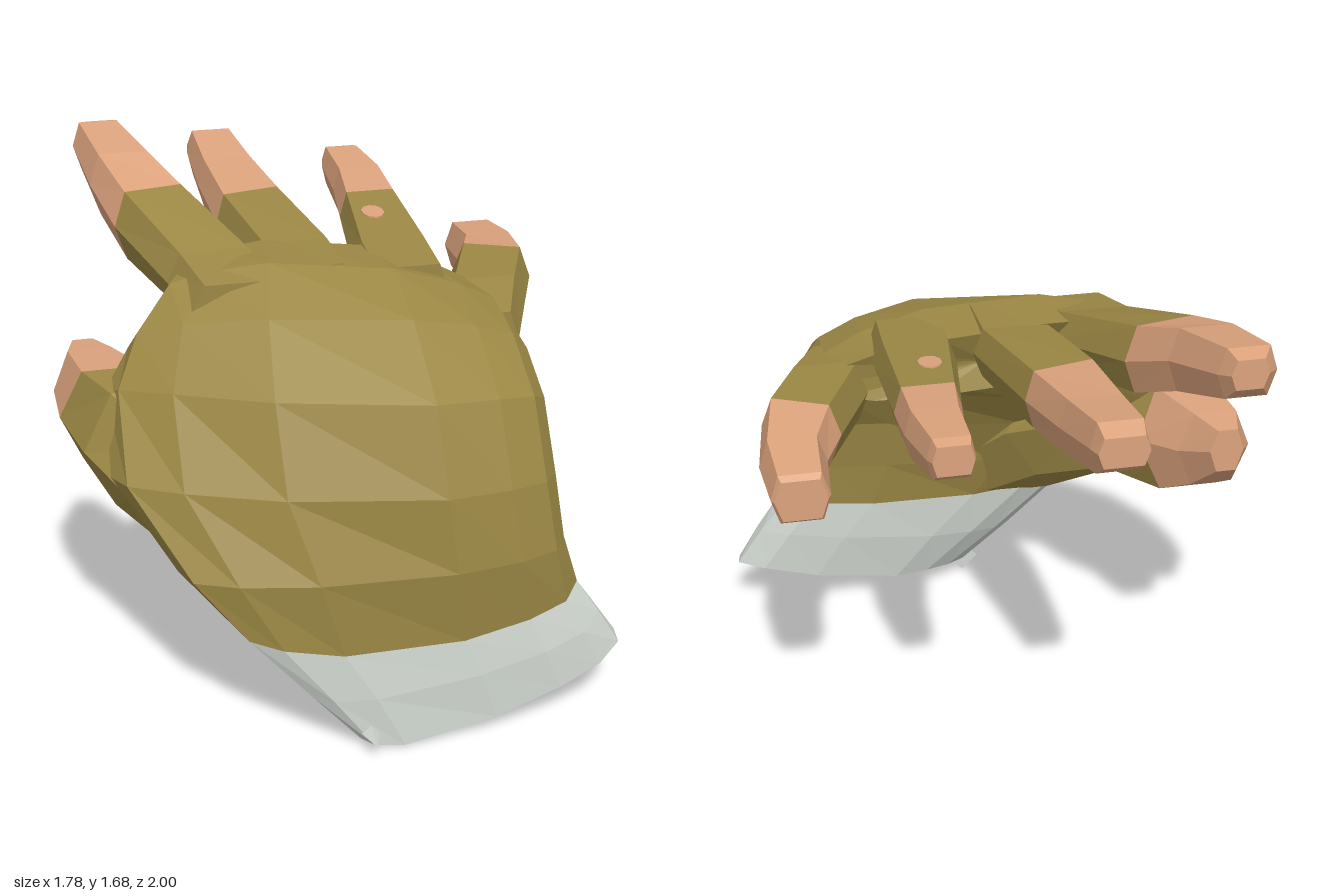
import * as THREE from 'three';

const glove = new THREE.MeshStandardMaterial({ color: 0x9c8845 });
glove.name = 'olive glove';
const skin = new THREE.MeshStandardMaterial({ color: 0xdca37d });
skin.name = 'skin';
const cloth = new THREE.MeshStandardMaterial({ color: 0xd0d6d0 });
cloth.name = 'pale cuff';

// Faceted skin over a list of rings, closed at both ends
function loft(name, rings, material) {
  const pos = [];
  const tri = (...pts) => pts.forEach((p) => pos.push(p.x, p.y, p.z));
  const n = rings[0].length;
  for (let i = 0; i < rings.length - 1; i++) {
    for (let j = 0; j < n; j++) {
      const k = (j + 1) % n;
      const a = rings[i][j], b = rings[i][k], c = rings[i + 1][k], d = rings[i + 1][j];
      tri(a, d, c);
      tri(a, c, b);
    }
  }
  const centre = (ring) => ring.reduce((s, p) => s.add(p), new THREE.Vector3()).divideScalar(n);
  const first = rings[0], last = rings[rings.length - 1];
  const c0 = centre(first), c1 = centre(last);
  for (let j = 0; j < n; j++) {
    const k = (j + 1) % n;
    tri(c0, first[j], first[k]);
    tri(c1, last[k], last[j]);
  }
  const geo = new THREE.BufferGeometry();
  geo.setAttribute('position', new THREE.Float32BufferAttribute(pos, 3));
  geo.computeVertexNormals();
  const mesh = new THREE.Mesh(geo, material);
  mesh.name = name;
  return mesh;
}

// Rounded ring through four points: thumb edge, little-finger edge, back, palm
function handRing([thumbEdge, outerEdge, back, palm]) {
  const [L, R, B, P] = [thumbEdge, outerEdge, back, palm].map((p) => new THREE.Vector3(...p));
  const M = B.clone().add(P).multiplyScalar(0.5);
  const soft = (v) => Math.pow(Math.abs(v), 0.7);
  const ring = [];
  for (let j = 0; j < 14; j++) {
    const t = (j / 14) * Math.PI * 2;
    const c = Math.cos(t), s = Math.sin(t);
    ring.push(M.clone()
      .addScaledVector((c > 0 ? R : L).clone().sub(M), soft(c))
      .addScaledVector((s > 0 ? B : P).clone().sub(M), soft(s)));
  }
  return ring;
}

// Six-sided digit ring: centre, half width, half height, z slant across and up;
// flat is the share of the width taken by the top and bottom faces
function digitRing([x, y, z, w, h, across = 0, up = 0], flat) {
  const corners = [[1, 0], [flat, 1], [-flat, 1], [-1, 0], [-flat, -1], [flat, -1]];
  return corners.map(([u, v]) => new THREE.Vector3(x + u * w, y + v * h, z + u * across + v * up));
}

// Hand body from the wrist, over the bend, to the knuckles
const palmSections = [
  [[-0.42, 0.44, 0.76], [0.72, 0.45, 0.77], [0.08, 0.33, 0.91], [0.15, 0.42, 0.66]],
  [[-0.6, 0.61, 0.68], [0.66, 0.63, 0.78], [0.05, 0.62, 0.94], [0.1, 0.62, 0.63]],
  [[-0.77, 0.85, 0.45], [0.63, 0.85, 0.75], [0.02, 0.88, 0.92], [0.1, 0.82, 0.6]],
  [[-0.75, 1.06, 0.23], [0.62, 1.07, 0.64], [0, 1.17, 0.84], [0.1, 1.0, 0.52]],
  [[-0.66, 1.18, 0.17], [0.62, 1.17, 0.46], [0, 1.37, 0.56], [0.1, 1.12, 0.4]],
  [[-0.54, 1.31, 0.14], [0.62, 1.2, 0.27], [0, 1.47, 0.28], [0.05, 1.2, 0.22]],
  [[-0.47, 1.35, 0.06], [0.55, 1.24, 0.14], [0, 1.455, -0.02], [0.03, 1.23, 0.0]],
];

// Cuff from its hem up to the wrist
const cuffSections = [
  [[-0.02, 0.05, 0.82], [0.88, 0.2, 0.78], [0.2, 0.0, 0.92], [0.38, 0.08, 0.68]],
  [[-0.2, 0.22, 0.79], [0.8, 0.33, 0.78], [0.14, 0.19, 0.92], [0.27, 0.27, 0.66]],
  palmSections[0],
];

// Each digit: rings from root to tip; 'bare' is the ring where the glove ends
const digits = {
  thumb: { bare: 3, flat: 0.58, rings: [
    [-0.2, 0.58, 0.68, 0.24, 0.15], [-0.42, 0.78, 0.5, 0.29, 0.19], [-0.61, 0.89, 0.33, 0.23, 0.2],
    [-0.71, 0.92, 0.1, 0.18, 0.18, 0, 0.05], [-0.76, 0.95, -0.06, 0.13, 0.14], [-0.77, 1.0, -0.18, 0.06, 0.08]] },
  indexFinger: { bare: 2, flat: 0.72, rings: [
    [-0.3, 1.33, 0.3, 0.17, 0.09], [-0.35, 1.36, 0.08, 0.16, 0.1], [-0.49, 1.45, -0.29, 0.14, 0.12, -0.03],
    [-0.56, 1.53, -0.5, 0.12, 0.11], [-0.61, 1.6, -0.76, 0.095, 0.085], [-0.6, 1.62, -0.82, 0.06, 0.05]] },
  middleFinger: { bare: 2, flat: 0.78, rings: [
    [-0.06, 1.34, 0.25, 0.14, 0.1], [-0.06, 1.36, 0.02, 0.14, 0.09], [-0.125, 1.4, -0.4, 0.13, 0.1, -0.03],
    [-0.15, 1.44, -0.7, 0.11, 0.095], [-0.165, 1.49, -0.94, 0.09, 0.085], [-0.165, 1.5, -1.0, 0.08, 0.05]] },
  ringFinger: { bare: 2, flat: 0.78, rings: [
    [0.27, 1.32, 0.25, 0.14, 0.09], [0.28, 1.34, 0.02, 0.14, 0.09], [0.31, 1.38, -0.39, 0.11, 0.09],
    [0.325, 1.41, -0.6, 0.095, 0.085], [0.315, 1.44, -0.82, 0.075, 0.07], [0.315, 1.45, -0.86, 0.065, 0.05]] },
  littleFinger: { bare: 2, flat: 0.72, rings: [
    [0.5, 1.17, 0.38, 0.12, 0.1], [0.57, 1.2, 0.15, 0.15, 0.11], [0.69, 1.215, -0.13, 0.125, 0.105, 0.06],
    [0.74, 1.2, -0.33, 0.11, 0.095], [0.74, 1.19, -0.53, 0.095, 0.085], [0.74, 1.19, -0.55, 0.085, 0.07]] },
};

export function createModel() {
  const hand = new THREE.Group();
  hand.name = 'glovedHand';
  hand.add(loft('palm', palmSections.map(handRing), glove));
  hand.add(loft('cuff', cuffSections.map(handRing), cloth));

  // Pointed fold at the hem of the cuff
  const fold = new THREE.Mesh(new THREE.ConeGeometry(0.06, 0.18, 4).toNonIndexed(), cloth);
  fold.geometry.computeVertexNormals();
  fold.name = 'cuffFold';
  fold.rotation.x = Math.PI / 2;
  fold.position.set(-0.02, 0.06, 0.91);
  hand.add(fold);

  // Gloved roots and bare tips
  for (const [name, { bare, flat, rings }] of Object.entries(digits)) {
    const loops = rings.map((ring) => digitRing(ring, flat));
    const digit = new THREE.Group();
    digit.name = name;
    digit.add(loft(name + 'Glove', loops.slice(0, bare + 1), glove));
    digit.add(loft(name + 'Tip', loops.slice(bare), skin));
    hand.add(digit);
  }

  // Small worn hole on the ring finger
  const hole = new THREE.Mesh(new THREE.CylinderGeometry(0.04, 0.04, 0.008, 10), skin);
  hole.name = 'gloveHole';
  hole.scale.z = 1.3;
  hole.rotation.x = 0.095;
  hole.position.set(0.27, 1.453, -0.2);
  hand.add(hole);
  return hand;
}
